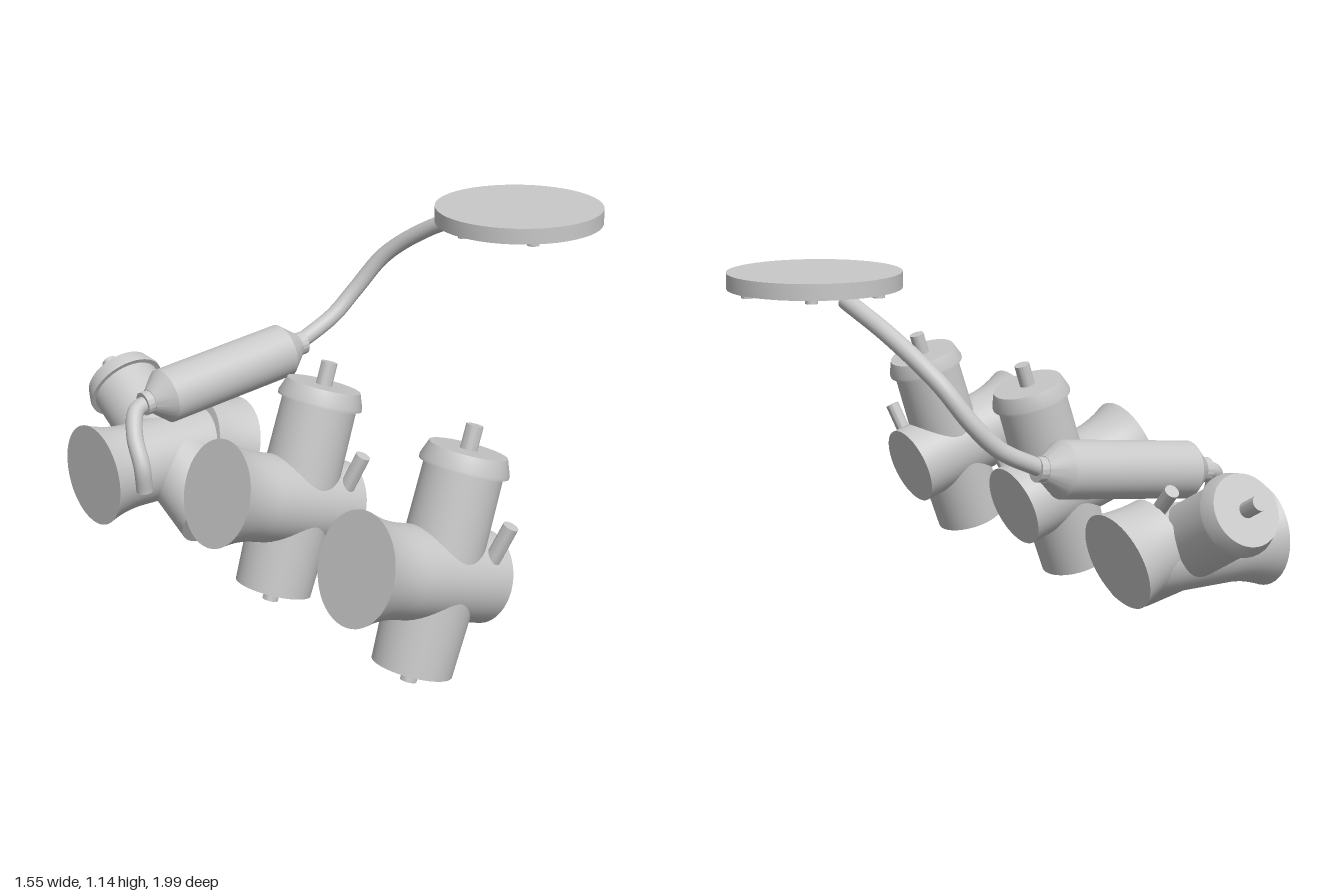
import * as THREE from 'three';
import { toCreasedNormals } from 'three/addons/utils/BufferGeometryUtils.js';

export function createModel() {
  const model = new THREE.Group();
  const metal = new THREE.MeshStandardMaterial({ color: 0xc8c8c8 });
  metal.name = 'light grey metal';
  const V = (x, y, z) => new THREE.Vector3(x, y, z);
  const UP = V(0, 1, 0);

  function add(parent, name, geometry) {
    const mesh = new THREE.Mesh(geometry, metal);
    mesh.name = name;
    parent.add(mesh);
    return mesh;
  }

  // Turned part: [radius, height] profile from low to high, laid from a point along a direction
  function turned(parent, name, profile, origin, dir = UP) {
    const pts = profile.map(([r, h]) => new THREE.Vector2(r, h));
    const mesh = add(parent, name, toCreasedNormals(new THREE.LatheGeometry(pts, 48), 0.5));
    mesh.position.copy(origin);
    mesh.quaternion.setFromUnitVectors(UP, dir.clone().normalize());
    return mesh;
  }

  // Plain rod with closed ends between two points
  function rod(parent, name, r, a, b) {
    const d = b.clone().sub(a);
    const L = d.length();
    return turned(parent, name, [[0, 0], [r, 0], [r, L], [0, L]], a, d);
  }

  // Bent pipe with end discs
  function pipe(name, r, points) {
    const curve = new THREE.CatmullRomCurve3(points);
    add(model, name, new THREE.TubeGeometry(curve, 64, r, 24));
    for (const t of [0, 1]) {
      const out = curve.getTangent(t).multiplyScalar(t ? 1 : -1);
      const cap = add(model, name + 'End', new THREE.CircleGeometry(r, 24));
      cap.position.copy(curve.getPoint(t));
      cap.quaternion.setFromUnitVectors(V(0, 0, 1), out);
    }
  }

  // Concave flare narrowing from the mouth to the tube
  const flare = (rMouth, rTube, length) => {
    const pts = [[0, 0], [rMouth, 0]];
    for (let i = 1; i <= 10; i++) {
      const t = i / 10;
      pts.push([rTube + (rMouth - rTube) * (1 - t) ** 2, length * t]);
    }
    return pts;
  };

  // One valve; its origin is the centre of the flared mouth, the flow runs along +x
  function valve(name, position, rx, rz) {
    const g = new THREE.Group();
    g.name = name;
    g.position.copy(position);
    g.rotation.set(rx, 0, rz);
    const s = 0.312;
    turned(g, 'flowTube', [...flare(0.171, 0.141, 0.15), [0.141, 0.492], [0, 0.492]], V(0, 0, 0), V(1, 0, 0));
    turned(g, 'lowerBarrel', [[0, -0.292], [0.123, -0.292], [0.134, 0], [0, 0]], V(s, 0, 0));
    turned(g, 'upperBarrel', [[0, 0], [0.124, 0], [0.12, 0.335], [0, 0.335]], V(s, 0, 0));
    turned(g, 'cap', [[0, 0.327], [0.136, 0.327], [0.136, 0.337], [0.119, 0.383], [0, 0.383]], V(s, 0, 0));
    rod(g, 'stem', 0.026, V(s, 0.37, 0), V(s, 0.457, 0));
    rod(g, 'drainStub', 0.025, V(s, -0.335, 0), V(s, -0.28, 0));
    rod(g, 'sideNipple', 0.024, V(0.425, 0.07, 0.095), V(0.425, 0.197, 0.137));
    model.add(g);
  }

  const tilt = THREE.MathUtils.degToRad(18);
  valve('frontValve', V(-0.725, 0.418, 0.828), 0, -tilt);
  valve('middleValve', V(-0.725, 0.418, 0.118), 0, -tilt);
  valve('rearValve', V(-0.752, 0.262, -0.586), -Math.PI / 3, 0);

  // Angled outlet bell on the rear valve
  turned(model, 'outletBell', [...flare(0.164, 0.143, 0.16), [0, 0.16]],
    V(-0.195, 0.245, -0.586), V(-Math.cos(tilt), Math.sin(tilt), 0));

  // Canister with conical ends and collars
  turned(model, 'canister', [
    [0, -0.085], [0.04, -0.085], [0.04, -0.058], [0.042, -0.058], [0.093, 0],
    [0.093, 0.49], [0.042, 0.553], [0.04, 0.553], [0.04, 0.58], [0, 0.58],
  ], V(-0.492, 0.499, -0.54), V(0.9925, 0.122, 0));

  // Pipes on both sides of the canister
  pipe('supplyPipe', 0.028, [
    V(0.06, 0.568, -0.542), V(0.214, 0.645, -0.537), V(0.3, 0.73, -0.52),
    V(0.38, 0.856, -0.455), V(0.45, 0.978, -0.29), V(0.492, 1.066, -0.08),
  ]);
  pipe('returnPipe', 0.028, [
    V(-0.555, 0.492, -0.54), V(-0.61, 0.475, -0.53), V(-0.65, 0.41, -0.48),
    V(-0.66, 0.32, -0.425), V(-0.65, 0.23, -0.43),
  ]);

  // Round mounting plate with a ring of bolts underneath
  const cx = 0.497, cz = 0.117;
  turned(model, 'mountingPlate', [[0, 1.082], [0.28, 1.082], [0.28, 1.134], [0, 1.134]], V(cx, 0, cz));
  for (let i = 0; i < 6; i++) {
    const a = (i * Math.PI) / 3;
    const x = cx + 0.236 * Math.cos(a), z = cz + 0.236 * Math.sin(a);
    rod(model, 'plateBolt', 0.02, V(x, 1.067, z), V(x, 1.09, z));
  }

  return model;
}
